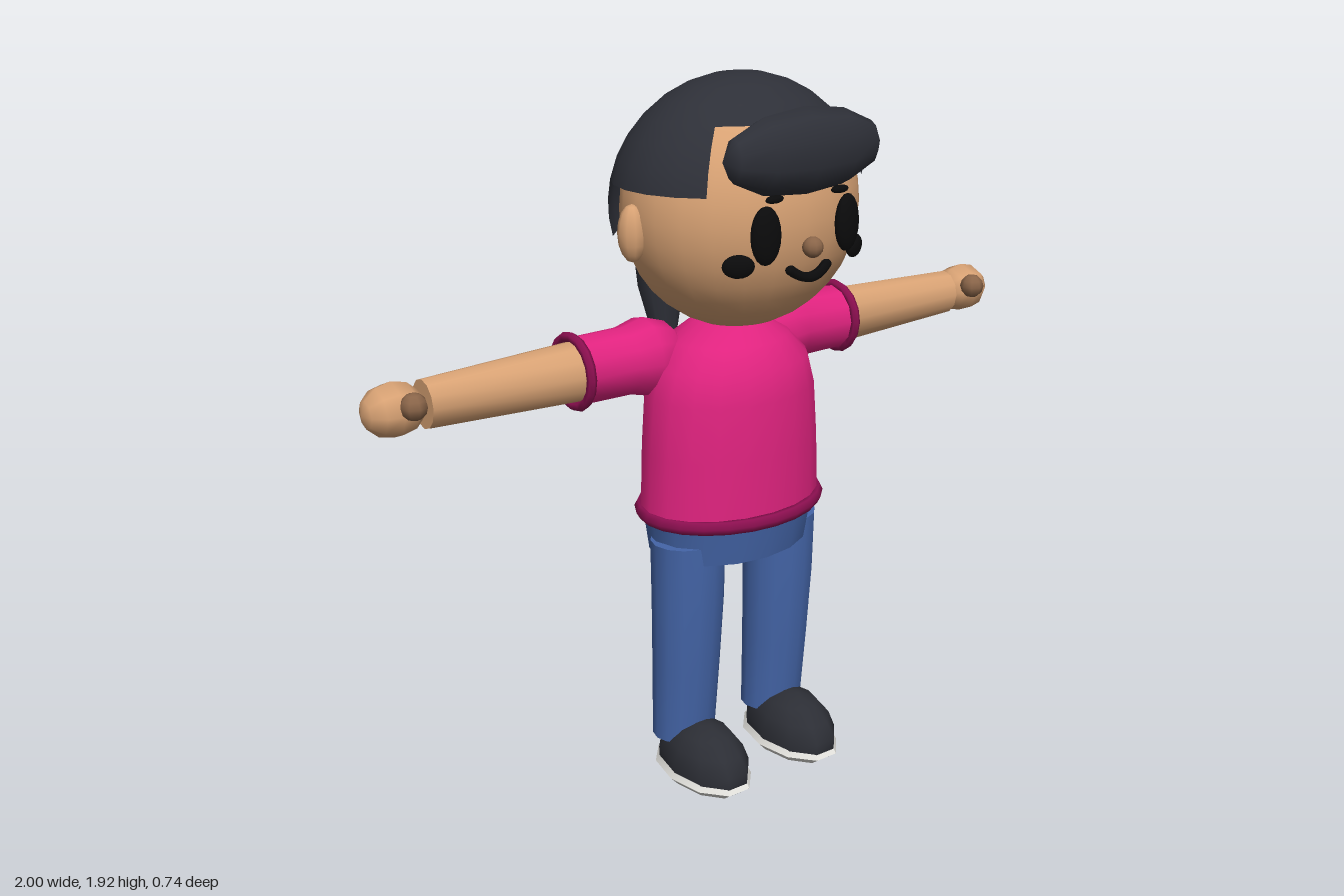
import * as THREE from 'three';
import { toCreasedNormals } from 'three/addons/utils/BufferGeometryUtils.js';

const mat = (name, color, side = THREE.FrontSide) => {
  const m = new THREE.MeshStandardMaterial({ color, side });
  m.name = name;
  return m;
};

// Closed tube of elliptical rings [y, rx, rz, zCentre], listed upwards
function loft(rings, segs = 16, crease = 0.9) {
  const all = [[rings[0][0], 0, 0, rings[0][3]], ...rings];
  const last = rings[rings.length - 1];
  all.push([last[0], 0, 0, last[3]]);
  const pos = [], idx = [];
  all.forEach(([y, rx, rz, zc = 0]) => {
    for (let j = 0; j < segs; j++) {
      const a = (j / segs) * Math.PI * 2;
      pos.push(Math.cos(a) * rx, y, zc + Math.sin(a) * rz);
    }
  });
  for (let i = 0; i < all.length - 1; i++) {
    for (let j = 0; j < segs; j++) {
      const k = (j + 1) % segs;
      const a = i * segs + j, b = i * segs + k, c = a + segs, d = b + segs;
      if (all[i][1] > 0) idx.push(a, c, b);
      if (all[i + 1][1] > 0) idx.push(b, c, d);
    }
  }
  const g = new THREE.BufferGeometry();
  g.setAttribute('position', new THREE.Float32BufferAttribute(pos, 3));
  g.setIndex(idx);
  return toCreasedNormals(g, crease);
}

const ball = (rx, ry, rz, w = 16, h = 10) => new THREE.SphereGeometry(1, w, h).scale(rx, ry, rz);

export function createModel() {
  const root = new THREE.Group();
  root.name = 'girl';
  const skin = mat('skin', 0xd8a274);
  const darkSkin = mat('dark skin', 0x8a6549);
  const hair = mat('hair', 0x2e3038, THREE.DoubleSide);
  const black = mat('face black', 0x0b0b0c);
  const pink = mat('shirt pink', 0xe0237f);
  const trim = mat('shirt trim', 0x8c0f50);
  const denim = mat('denim', 0x4465a8);
  const shoe = mat('shoe', 0x2c2e35);
  const sole = mat('sole', 0xe6e5e0);

  const add = (name, geo, material, x = 0, y = 0, z = 0) => {
    const m = new THREE.Mesh(geo, material);
    m.name = name;
    m.position.set(x, y, z);
    root.add(m);
    return m;
  };

  // Head and face
  add('head', ball(0.32, 0.31, 0.268, 24, 18), skin, 0, 1.59, 0.06);
  add('nose', ball(0.026, 0.026, 0.026, 10, 8), darkSkin, 0, 1.535, 0.348);
  const smile = new THREE.QuadraticBezierCurve3(
    new THREE.Vector3(-0.055, 1.483, 0.333),
    new THREE.Vector3(0, 1.437, 0.347),
    new THREE.Vector3(0.055, 1.483, 0.333));
  add('mouth', new THREE.TubeGeometry(smile, 10, 0.013, 6), black);
  for (const s of [-1, 1]) {
    add('mouthCorner', ball(0.015, 0.012, 0.012, 8, 6), black, s * 0.055, 1.483, 0.333);
    add('eye', ball(0.04, 0.072, 0.022), black, s * 0.125, 1.575, 0.325).rotation.y = s * 0.2;
    add('brow', ball(0.028, 0.01, 0.012, 8, 6), black, s * 0.1, 1.66, 0.325);
    add('cheek', ball(0.04, 0.029, 0.016), black, s * 0.18, 1.502, 0.29).rotation.y = s * 0.5;
    add('ear', ball(0.037, 0.072, 0.036, 10, 8), skin, s * 0.322, 1.558, 0.052);
  }

  // Hair shell: crown all round, sides open at the face, longer at the back
  const hairY = 1.6, ry = 0.32;
  const patch = (name, from, to, top, bottom, rows) => {
    const t0 = Math.acos(Math.min(1, (top - hairY) / ry));
    const t1 = Math.acos((bottom - hairY) / ry);
    const rad = Math.PI / 180;
    const g = new THREE.SphereGeometry(1, (to - from) / 15, rows, from * rad, (to - from) * rad, t0, t1 - t0);
    add(name, g.scale(0.345, ry, 0.28), hair, 0, hairY, 0.05);
  };
  patch('hairCrown', 0, 360, 1.92, 1.82, 4);
  patch('hairSides', 135, 405, 1.82, 1.665, 3);
  patch('hairBack', 210, 330, 1.665, 1.52, 3);

  // Fringe roll across the forehead
  add('fringe', ball(0.107, 0.24, 0.066, 10, 6).rotateZ(Math.PI / 2), hair, 0, 1.76, 0.308);

  // Ponytail
  add('hairTie', ball(0.062, 0.052, 0.055, 8, 6), hair, 0, 1.715, -0.25);
  add('ponytail', loft([
    [1.13, 0.026, 0.026, -0.283],
    [1.3, 0.068, 0.053, -0.3],
    [1.52, 0.09, 0.072, -0.303],
    [1.66, 0.075, 0.052, -0.285],
    [1.725, 0.04, 0.03, -0.265],
  ], 10), hair);

  // Shirt body and hem
  add('shirt', loft([
    [0.775, 0.262, 0.19, 0.015],
    [0.95, 0.255, 0.19, 0.015],
    [1.1, 0.242, 0.188, 0.015],
    [1.18, 0.22, 0.176, 0.015],
    [1.24, 0.165, 0.14, 0.012],
    [1.285, 0.09, 0.09, 0.01],
  ], 20, 1.2), pink);
  const hem = new THREE.TorusGeometry(0.255, 0.02, 6, 24).rotateX(Math.PI / 2).scale(1, 1, 0.765);
  add('shirtHem', hem, trim, 0, 0.78, 0.015);

  // Hips
  add('hips', loft([
    [0.66, 0.232, 0.172, 0.008],
    [0.78, 0.25, 0.188, 0.012],
  ], 16), denim);

  const armY = 1.195, armZ = -0.07;
  for (const s of [-1, 1]) {
    // Arms run outwards along x
    const sideways = (rings, segs) => loft(rings, segs).rotateZ(-s * Math.PI / 2);
    add('sleeve', sideways([
      [0.11, 0.045, 0.045],
      [0.15, 0.085, 0.085],
      [0.215, 0.106, 0.1],
      [0.275, 0.09, 0.086],
      [0.425, 0.088, 0.086],
    ], 12), pink, 0, armY, armZ);
    const cuff = new THREE.TorusGeometry(0.09, 0.013, 6, 16).rotateY(Math.PI / 2);
    add('cuff', cuff, trim, s * 0.428, armY, armZ);
    add('arm', sideways([
      [0.4, 0.08, 0.073],
      [0.845, 0.062, 0.055],
    ], 12), skin, 0, armY, armZ);
    add('hand', ball(0.07, 0.08, 0.07, 8, 6).rotateZ(Math.PI / 2), skin, s * 0.92, armY, armZ - 0.008);
    add('thumb', ball(0.034, 0.034, 0.034, 8, 6), darkSkin, s * 0.898, armY + 0.022, -0.008);

    // Legs
    add('trouserLeg', loft([
      [0.12, 0.09, 0.078, 0.008],
      [0.33, 0.096, 0.085, 0.022],
      [0.53, 0.101, 0.092, 0.033],
      [0.71, 0.104, 0.094, 0.036],
    ], 14), denim, s * 0.153);

    // Shoes
    add('shoe', loft([
      [0.05, 0.099, 0.165, 0.1],
      [0.085, 0.1, 0.167, 0.1],
      [0.125, 0.088, 0.13, 0.108],
      [0.16, 0.062, 0.085, 0.105],
      [0.178, 0.02, 0.03, 0.1],
    ], 10, 1.1), shoe, s * 0.152);
    add('sole', loft([
      [0.003, 0.05, 0.09, 0.095],
      [0.015, 0.085, 0.145, 0.095],
      [0.04, 0.108, 0.176, 0.097],
      [0.06, 0.098, 0.163, 0.098],
    ], 10, 0.6), sole, s * 0.152);
  }
  return root;
}
